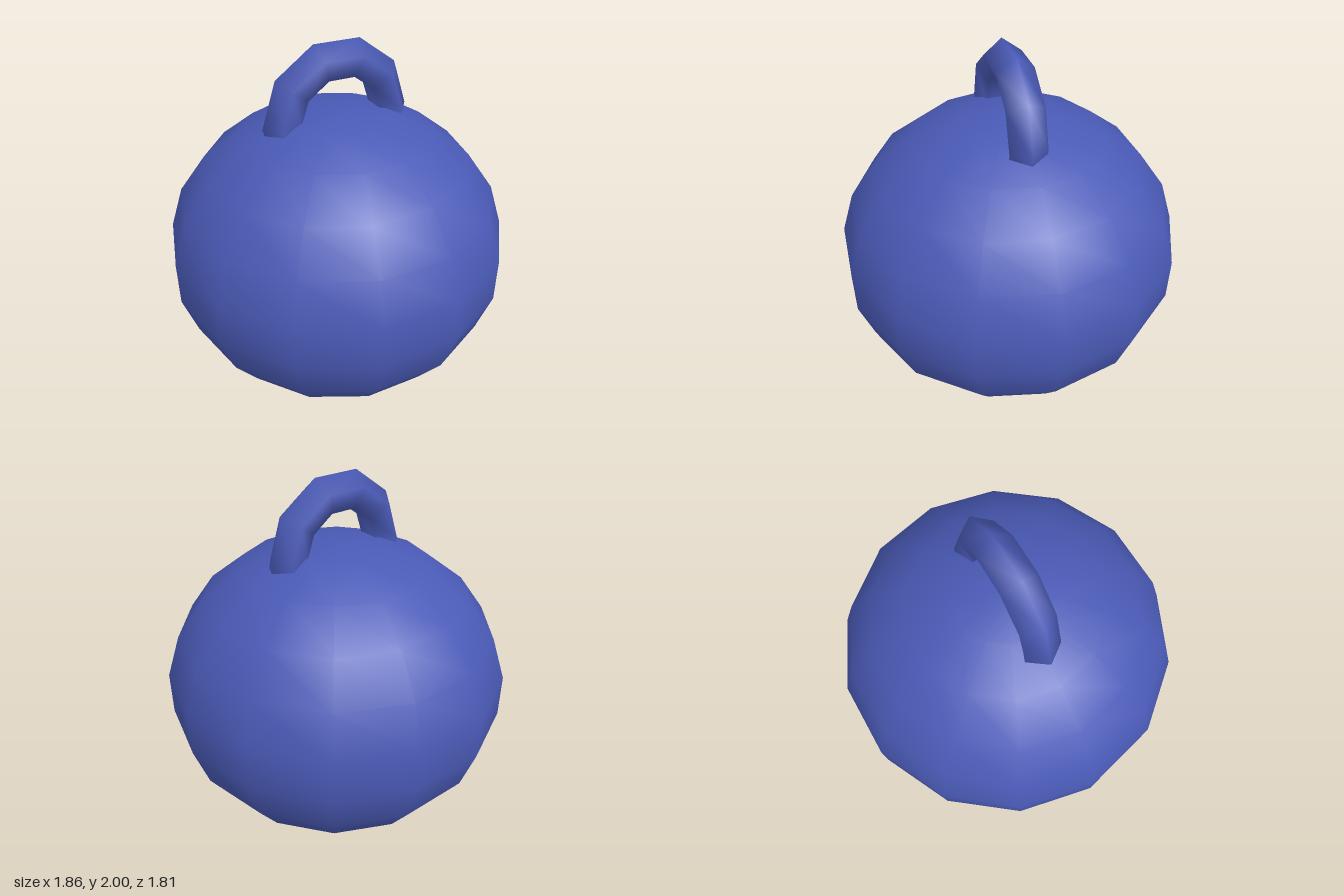
import * as THREE from 'three';

export function createModel() {
  const group = new THREE.Group();
  const blue = new THREE.MeshStandardMaterial({ color: 0x4a5ab6 });
  blue.name = 'blue';

  // Slightly flattened low-poly ball, smoothly shaded
  const ballGeometry = new THREE.SphereGeometry(1, 14, 11);
  ballGeometry.scale(0.94, 0.831, 0.94);
  const ball = new THREE.Mesh(ballGeometry, blue);
  ball.name = 'ball';
  ball.position.y = 0.831;

  // Upright ring sunk halfway into the ball, forming the carrying loop
  const handle = new THREE.Mesh(new THREE.TorusGeometry(0.308, 0.102, 5, 10), blue);
  handle.name = 'handle';
  handle.position.y = 1.61;

  group.add(ball, handle);
  return group;
}
